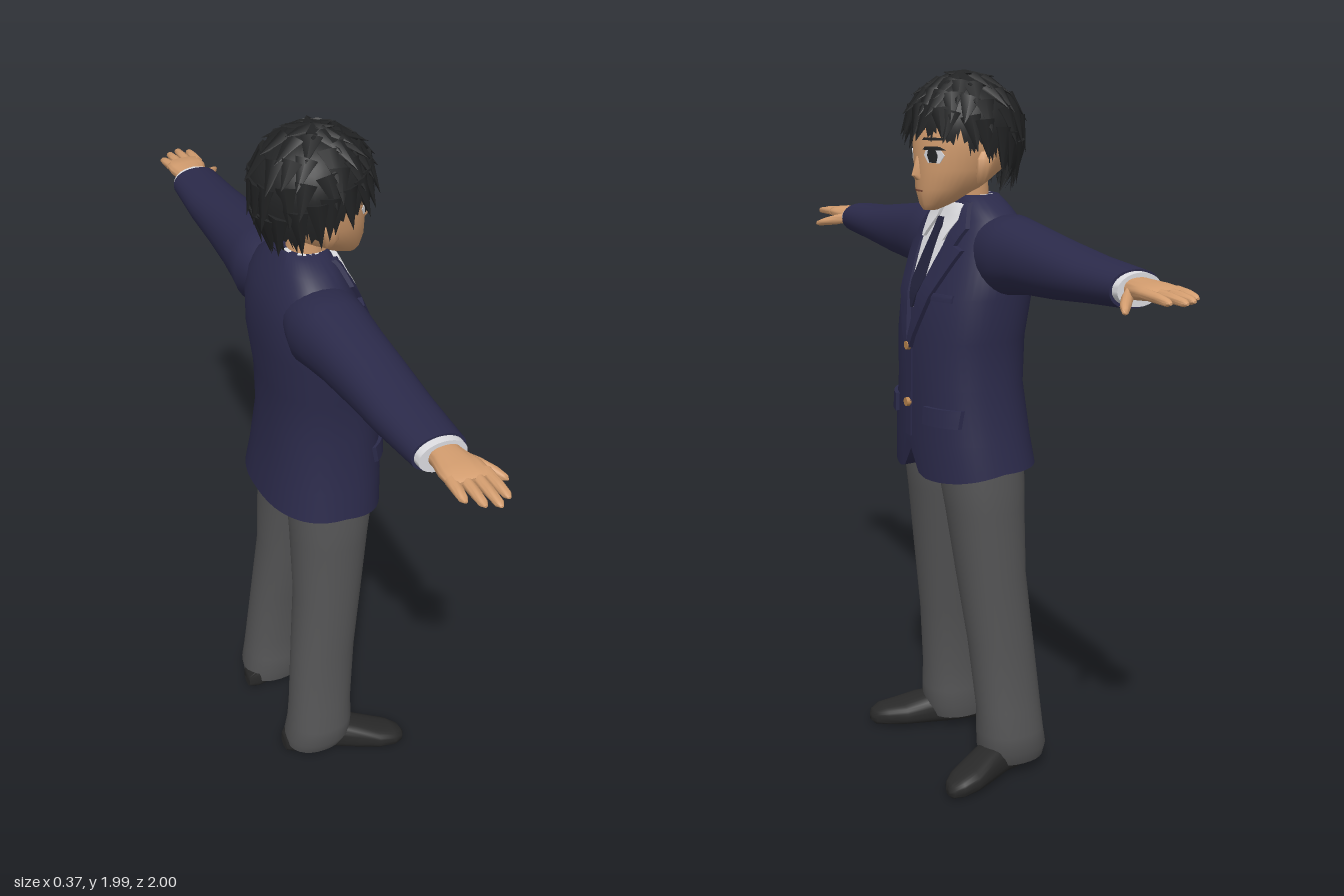
import * as THREE from 'three';
import { toCreasedNormals } from 'three/addons/utils/BufferGeometryUtils.js';

const mat = (name, color) => Object.assign(new THREE.MeshStandardMaterial({ color }), { name });
const M = {
  jacket: mat('navy cloth', 0x2b2a4a), trousers: mat('grey cloth', 0x545455), skin: mat('skin', 0xd29c6e),
  hair: mat('black hair', 0x222324), shoe: mat('shoe leather', 0x292929), shirt: mat('white shirt', 0xdcdce0),
  tie: mat('tie cloth', 0x23233c), button: mat('button brass', 0xb9854f), lip: mat('mouth brown', 0x8a5540),
};
M.hair.side = THREE.DoubleSide;

const AXES = { y: ['z', 'x'], x: ['y', 'z'], z: ['x', 'y'] };
const spow = (v, e) => Math.sign(v) * Math.abs(v) ** e;

function build(pos, idx, crease = 0.9) {
  const g = new THREE.BufferGeometry();
  g.setAttribute('position', new THREE.Float32BufferAttribute(pos, 3));
  g.setIndex(idx);
  return toCreasedNormals(g, crease);
}

// Closed skin over superellipse sections [along, centreU, centreV, radiusU, radiusV]
function loft(axis, secs, { n = 28, p = 2, tweak } = {}) {
  const [u, v] = AXES[axis], pos = [], idx = [], pt = new THREE.Vector3();
  const add = (s, cu, cv) => { pt[axis] = s; pt[u] = cu; pt[v] = cv; if (tweak) tweak(pt); pos.push(pt.x, pt.y, pt.z); };
  secs.forEach(([s, cu, cv, ru, rv]) => {
    for (let j = 0; j < n; j++) {
      const a = j / n * Math.PI * 2;
      add(s, cu + ru * spow(Math.cos(a), 2 / p), cv + rv * spow(Math.sin(a), 2 / p));
    }
  });
  const last = (secs.length - 1) * n, c = secs.length * n;
  add(...secs[0]); add(...secs[secs.length - 1]);
  for (let j = 0; j < n; j++) {
    const k = (j + 1) % n;
    for (let r = 0; r < last; r += n) idx.push(r + j, r + k, r + n + j, r + k, r + n + k, r + n + j);
    idx.push(c, k, j, c + 1, last + j, last + k);
  }
  return build(pos, idx);
}

// Front depth of an upright loft at (x, y)
function depth(secs, p, x, y) {
  let i = 0;
  while (i < secs.length - 2 && secs[i + 1][0] < y) i++;
  const t = THREE.MathUtils.clamp((y - secs[i][0]) / (secs[i + 1][0] - secs[i][0]), 0, 1);
  const [, cz, cx, rz, rx] = secs[i].map((a, k) => a + (secs[i + 1][k] - a) * t);
  return cz + rz * Math.max(0, 1 - Math.abs((x - cx) / rx) ** p) ** (1 / p);
}

// Raised panel that follows a front surface; rows are [y, xFrom, xTo] from top to bottom
function panel(surface, rows, off, cols = 6, sub = 4) {
  const fine = [], pos = [], idx = [];
  rows.forEach((r, i) => {
    if (i) for (let k = 1; k <= sub; k++) fine.push(r.map((b, q) => rows[i - 1][q] + (b - rows[i - 1][q]) * k / sub));
    else fine.push(r);
  });
  const all = [fine[0], ...fine, fine[fine.length - 1]], w = cols + 3;
  all.forEach(([y, a, b], r) => {
    for (let c = 0; c < w; c++) {
      const x = a + (b - a) * THREE.MathUtils.clamp((c - 1) / cols, 0, 1);
      const edge = r === 0 || r === all.length - 1 || c === 0 || c === w - 1;
      pos.push(x, y, surface(x, y) + (edge ? 0 : off));
    }
  });
  for (let r = 0; r < all.length - 1; r++) for (let c = 0; c < w - 1; c++) {
    const a = r * w + c;
    idx.push(a, a + w, a + 1, a + 1, a + w, a + w + 1);
  }
  return build(pos, idx, 0.6);
}

function mirrored(geo) {
  const g = geo.clone().scale(-1, 1, 1);
  for (const key of ['position', 'normal']) {
    const a = g.attributes[key].array;
    for (let i = 0; i < a.length; i += 9) for (let k = 0; k < 3; k++) [a[i + 3 + k], a[i + 6 + k]] = [a[i + 6 + k], a[i + 3 + k]];
  }
  return g;
}

export function createModel() {
  const model = new THREE.Group(), body = new THREE.Group();
  model.name = 'schoolboy'; body.name = 'body';
  body.rotation.y = Math.PI / 2; // the figure looks along +x
  model.add(body);
  const add = (name, geo, m, parent = body) => {
    const mesh = new THREE.Mesh(geo, m);
    mesh.name = name; parent.add(mesh);
    return mesh;
  };
  const pair = (name, geo, m) => { add(name + 'Left', geo, m); add(name + 'Right', mirrored(geo), m); };

  // Jacket body with a notched front hem
  const J = [[0.92, -0.005, 0, 0.17, 0.235], [1.0, 0.003, 0, 0.165, 0.222], [1.15, 0.01, 0, 0.155, 0.198], [1.28, 0.008, 0, 0.155, 0.203],
    [1.4, -0.008, 0, 0.153, 0.22], [1.5, -0.028, 0, 0.132, 0.215], [1.56, -0.035, 0, 0.112, 0.2], [1.6, -0.037, 0, 0.092, 0.17],
    [1.63, -0.035, 0, 0.078, 0.13], [1.66, -0.033, 0, 0.06, 0.08]];
  add('jacket', loft('y', J, { n: 48, p: 2.4, tweak: v => {
    if (v.y < 0.95 && v.z > 0.01) v.y += -0.2 * Math.min(v.z, 0.15) + 0.07 * Math.max(0, 1 - Math.abs(v.x) / 0.05);
  } }), M.jacket);
  const chest = (x, y) => depth(J, 2.4, x, y);
  add('shirtFront', panel(chest, [[1.64, -0.075, 0.075], [1.55, -0.075, 0.075], [1.42, -0.045, 0.045], [1.36, -0.005, 0.005]], 0.005), M.shirt);
  add('tie', panel(chest, [[1.6, -0.022, 0.022], [1.565, -0.016, 0.016], [1.43, -0.032, 0.032], [1.36, -0.004, 0.004]], 0.011), M.tie);
  pair('shirtCollarWing', panel(chest, [[1.64, 0.012, 0.075], [1.6, 0.022, 0.085], [1.545, 0.05, 0.06]], 0.015), M.shirt);
  pair('lapel', panel(chest, [[1.645, 0.068, 0.085], [1.58, 0.073, 0.125], [1.535, 0.068, 0.11], [1.525, 0.066, 0.14], [1.4, 0.028, 0.085], [1.25, -0.004, 0.012]], 0.013), M.jacket);
  pair('pocketFlap', panel(chest, [[1.1, 0.085, 0.185], [1.05, 0.082, 0.185]], 0.012), M.jacket);
  add('breastPocket', panel(chest, [[1.41, 0.085, 0.155], [1.39, 0.085, 0.155]], 0.005), M.jacket);
  add('frontOverlap', panel(chest, [[1.26, -0.02, 0.012], [1.0, -0.02, 0.012]], 0.005), M.jacket);
  for (const y of [1.255, 1.095]) {
    const b = add('button', new THREE.CylinderGeometry(0.012, 0.013, 0.012, 14), M.button);
    b.rotation.x = Math.PI / 2;
    b.position.set(0, y, chest(0, y) + 0.009);
  }

  // Sleeves, cuffs and hands
  pair('sleeve', loft('x', [[0.1, 1.52, -0.045, 0.07, 0.09], [0.18, 1.512, -0.045, 0.108, 0.105], [0.24, 1.513, -0.042, 0.1, 0.1],
    [0.32, 1.514, -0.042, 0.088, 0.093], [0.45, 1.51, -0.04, 0.075, 0.086], [0.6, 1.508, -0.042, 0.058, 0.08],
    [0.765, 1.51, -0.04, 0.046, 0.07]], { p: 2.2 }), M.jacket);
  pair('cuff', loft('x', [[0.74, 1.511, -0.04, 0.042, 0.065], [0.785, 1.511, -0.04, 0.04, 0.062]]), M.shirt);
  pair('palm', loft('x', [[0.76, 1.513, -0.038, 0.028, 0.038], [0.8, 1.515, -0.036, 0.025, 0.042], [0.85, 1.518, -0.033, 0.021, 0.055],
    [0.895, 1.52, -0.032, 0.015, 0.056], [0.905, 1.52, -0.032, 0.009, 0.05]], { p: 2.4 }), M.skin);
  [[-0.075, -0.078, 0.955], [-0.046, -0.047, 0.985], [-0.017, -0.016, 1.0], [0.011, 0.014, 0.98]].forEach(([z0, z1, tip]) =>
    pair('finger', loft('x', [[0.88, 1.52, z0, 0.013, 0.0145], [(0.88 + tip) / 2, 1.518, (z0 + z1) / 2, 0.012, 0.0135],
      [tip - 0.012, 1.515, z1, 0.009, 0.011], [tip, 1.514, z1, 0.003, 0.004]], { n: 12 }), M.skin));
  pair('thumb', loft('x', [[0.79, 1.51, -0.01, 0.016, 0.014], [0.825, 1.5, 0.022, 0.016, 0.018], [0.855, 1.492, 0.046, 0.013, 0.016],
    [0.88, 1.485, 0.063, 0.008, 0.01], [0.888, 1.483, 0.067, 0.002, 0.003]], { n: 12 }), M.skin);

  // Trousers and shoes
  pair('trouserLeg', loft('y', [[0.035, -0.072, 0.17, 0.092, 0.074], [0.075, -0.066, 0.175, 0.102, 0.087], [0.13, -0.06, 0.176, 0.098, 0.086],
    [0.2, -0.057, 0.172, 0.096, 0.076], [0.4, -0.04, 0.153, 0.095, 0.083], [0.6, -0.018, 0.135, 0.098, 0.094],
    [0.8, -0.006, 0.118, 0.11, 0.108], [0.87, -0.002, 0.112, 0.116, 0.113], [1.0, 0, 0.105, 0.118, 0.105]], { p: 2.2 }), M.trousers);
  add('hips', loft('y', [[0.84, -0.003, 0, 0.05, 0.1], [0.88, -0.002, 0, 0.1, 0.19], [1.0, 0, 0, 0.118, 0.2]], { p: 2.4 }), M.trousers);
  pair('shoe', loft('z', [[-0.168, 0.153, 0.03, 0.025, 0.028], [-0.14, 0.157, 0.048, 0.047, 0.048], [-0.03, 0.18, 0.052, 0.052, 0.052],
    [0.04, 0.208, 0.045, 0.059, 0.045], [0.1, 0.232, 0.034, 0.06, 0.034], [0.15, 0.25, 0.029, 0.048, 0.029],
    [0.178, 0.257, 0.023, 0.028, 0.022], [0.187, 0.26, 0.02, 0.01, 0.01]], { p: 2.7 }), M.shoe);

  // Neck, collar and head
  add('neck', loft('y', [[1.54, -0.03, 0, 0.05, 0.055], [1.62, -0.02, 0, 0.055, 0.056], [1.74, -0.005, 0, 0.06, 0.06]]), M.skin);
  add('shirtCollar', loft('y', [[1.58, -0.027, 0, 0.075, 0.082], [1.635, -0.025, 0, 0.066, 0.072], [1.66, -0.026, 0, 0.058, 0.064]]), M.shirt);
  const H = [[1.622, 0.1, 0, 0.02, 0.018], [1.638, 0.083, 0, 0.046, 0.04], [1.68, 0.045, 0, 0.092, 0.077], [1.73, 0.013, 0, 0.124, 0.103],
    [1.79, 0, 0, 0.14, 0.114], [1.86, -0.01, 0, 0.145, 0.12], [1.93, -0.01, 0, 0.11, 0.095], [1.96, -0.01, 0, 0.06, 0.05]];
  add('head', loft('y', H, { n: 36, p: 2.1 }), M.skin);
  const face = (x, y) => depth(H, 2.1, x, y);
  add('nose', loft('y', [[1.702, 0.13, 0, 0.012, 0.012], [1.715, 0.135, 0, 0.021, 0.013], [1.765, 0.133, 0, 0.008, 0.006]], { n: 10 }), M.skin);
  pair('ear', loft('y', [[1.695, 0.0, 0.1, 0.01, 0.006], [1.72, 0, 0.112, 0.02, 0.012], [1.76, -0.006, 0.118, 0.026, 0.014], [1.78, -0.006, 0.114, 0.012, 0.006]], { n: 14 }), M.skin);
  pair('eyeWhite', panel(face, [[1.786, 0.042, 0.075], [1.77, 0.034, 0.082], [1.75, 0.045, 0.072]], 0.002), M.shirt);
  pair('iris', panel(face, [[1.786, 0.05, 0.066], [1.77, 0.046, 0.07], [1.751, 0.051, 0.066]], 0.004), M.hair);
  pair('eyelash', panel(face, [[1.793, 0.042, 0.074], [1.784, 0.033, 0.085]], 0.005), M.hair);
  pair('eyebrow', panel(face, [[1.816, 0.035, 0.08], [1.809, 0.03, 0.085]], 0.004), M.hair);
  add('mouth', panel(face, [[1.677, -0.02, 0.02], [1.672, -0.018, 0.018]], 0.002), M.lip);

  // Hair cap with a ragged lower edge
  const hair = new THREE.Group();
  hair.name = 'hair'; body.add(hair);
  const hairPoint = (a, phi, k = 1) => {
    const c = Math.cos(phi), s = Math.sin(phi);
    return new THREE.Vector3(0.153 * s * Math.sin(a) * k, 1.83 + (c > 0 ? 0.147 : 0.22) * c * k, -0.003 + 0.162 * s * Math.cos(a) * k);
  };
  const endPhi = (a, zig = 0) => {
    const f = Math.cos(a), y = (f > 0 ? 1.765 + 0.065 * f : 1.765 + 0.085 * f) + zig;
    return Math.acos((y - 1.83) / (y > 1.83 ? 0.147 : 0.22));
  };
  const cap = new THREE.SphereGeometry(1, 108, 16), cp = cap.attributes.position, cuv = cap.attributes.uv;
  for (let i = 0; i < cp.count; i++) {
    const a = Math.round(cuv.getX(i) * 108) / 108 * Math.PI * 2;
    const t = Math.floor(i / 109) / 16, saw = Math.abs(((a / (Math.PI * 2) * 18) % 1) - 0.5) * 2;
    const q = hairPoint(a, t * endPhi(a, 0.045 * saw - 0.02));
    cp.setXYZ(i, q.x, q.y, q.z);
  }
  cap.computeVertexNormals();
  add('hairCap', cap, M.hair, hair);

  // Pointed locks lying over the cap
  let seed = 7;
  const rnd = () => (seed = (seed * 16807) % 2147483647) / 2147483647;
  [[0.2, 6], [0.4, 10], [0.6, 15], [0.8, 19], [1.0, 22]].forEach(([t, count], row) => {
    for (let i = 0; i < count; i++) {
      const a = (i + 0.5 * (row % 2) + 0.4 * rnd()) / count * Math.PI * 2, end = endPhi(a);
      const root = hairPoint(a, Math.max(0.02, end * t - 0.5), 0.97);
      const tip = hairPoint(a + 0.25 * (rnd() - 0.5), end * t + 0.1 * rnd(), 1.06 + 0.05 * rnd());
      const dir = tip.clone().sub(root), out = root.clone().sub(new THREE.Vector3(0, 1.83, 0));
      const side = new THREE.Vector3().crossVectors(dir, out).normalize();
      const up = dir.clone().normalize(), norm = new THREE.Vector3().crossVectors(side, up);
      const lock = add('hairLock', new THREE.ConeGeometry(0.032, dir.length(), 6).scale(1, 1, 0.45), M.hair, hair);
      lock.quaternion.setFromRotationMatrix(new THREE.Matrix4().makeBasis(side, up, norm));
      lock.position.copy(root).addScaledVector(dir, 0.5);
    }
  });
  return model;
}
